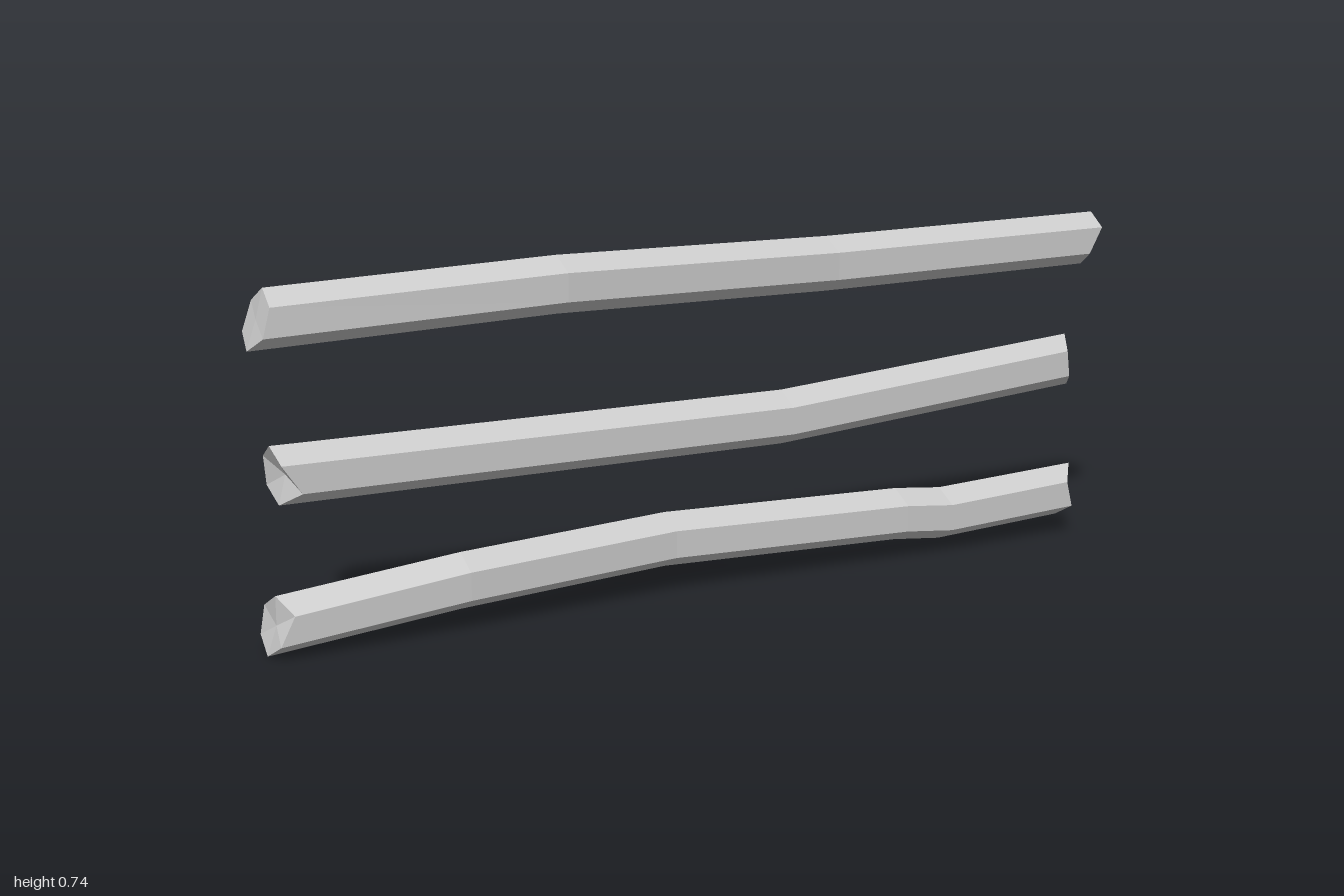
import * as THREE from 'three';

// Hexagon corners as [z, y]: top, front upper, front lower, bottom, back lower, back upper
const HEX = [[0, 0.059], [0.053, 0.029], [0.053, -0.029], [0, -0.059], [-0.053, -0.029], [-0.053, 0.029]];

// Each section: x (one value, or one per corner at the rough-cut ends), centre height y, sideways bend z
// cuts: depth x of the middle of the left and right end faces
const BEAMS = [
  {
    name: 'upperBeam', cuts: [-0.98, 0.98],
    sections: [
      { x: [-0.965, -0.97, -0.985, -1.0, -0.99, -0.97], y: 0.658 },
      { x: -0.37, y: 0.681, z: 0.025 },
      { x: 0.28, y: 0.673 },
      { x: [1.0, 0.99, 0.957, 0.975, 0.983, 0.995], y: 0.682 },
    ],
  },
  {
    name: 'middleBeam', cuts: [-0.935, 0.92],
    sections: [
      { x: [-0.965, -0.96, -0.92, -0.95, -0.955, -0.96], y: 0.356 },
      { x: 0.17, y: 0.35 },
      { x: [0.935, 0.903, 0.91, 0.945, 0.945, 0.925], y: 0.404 },
    ],
  },
  {
    name: 'lowerBeam', cuts: [-0.965, 0.91],
    sections: [
      { x: [-0.965, -0.945, -0.975, -0.985, -0.98, -0.97], y: 0.061 },
      { x: -0.58, y: 0.095 },
      { x: -0.1, y: 0.109, z: -0.027 },
      { x: 0.47, y: 0.096 },
      { x: 0.59, y: 0.083 },
      { x: [0.96, 0.915, 0.93, 0.925, 0.93, 0.945], y: 0.096 },
    ],
  },
];

function beamGeometry({ sections, cuts }) {
  const points = [];
  const faces = [];
  for (const { x, y, z = 0 } of sections) {
    HEX.forEach(([dz, dy], i) => points.push(Array.isArray(x) ? x[i] : x, y + dy, z + dz + 0.002));
  }
  // Sides
  for (let s = 0; s < sections.length - 1; s++) {
    for (let i = 0; i < 6; i++) {
      const a = s * 6 + i, b = s * 6 + (i + 1) % 6;
      faces.push(a, b, b + 6, a, b + 6, a + 6);
    }
  }
  // Chipped end faces, fanned around a middle point
  const last = sections.length - 1;
  const left = points.length / 3, right = left + 1;
  points.push(cuts[0], sections[0].y, 0.002, cuts[1], sections[last].y, 0.002);
  for (let i = 0; i < 6; i++) {
    const j = (i + 1) % 6;
    faces.push(left, j, i, right, last * 6 + i, last * 6 + j);
  }
  const indexed = new THREE.BufferGeometry();
  indexed.setAttribute('position', new THREE.Float32BufferAttribute(points, 3));
  indexed.setIndex(faces);
  const geometry = indexed.toNonIndexed();
  geometry.computeVertexNormals();
  return geometry;
}

export function createModel() {
  const group = new THREE.Group();
  group.name = 'woodenBeams';
  const material = new THREE.MeshStandardMaterial({ color: 0xcccccc, flatShading: true });
  for (const beam of BEAMS) {
    const mesh = new THREE.Mesh(beamGeometry(beam), material);
    mesh.name = beam.name;
    group.add(mesh);
  }
  return group;
}
